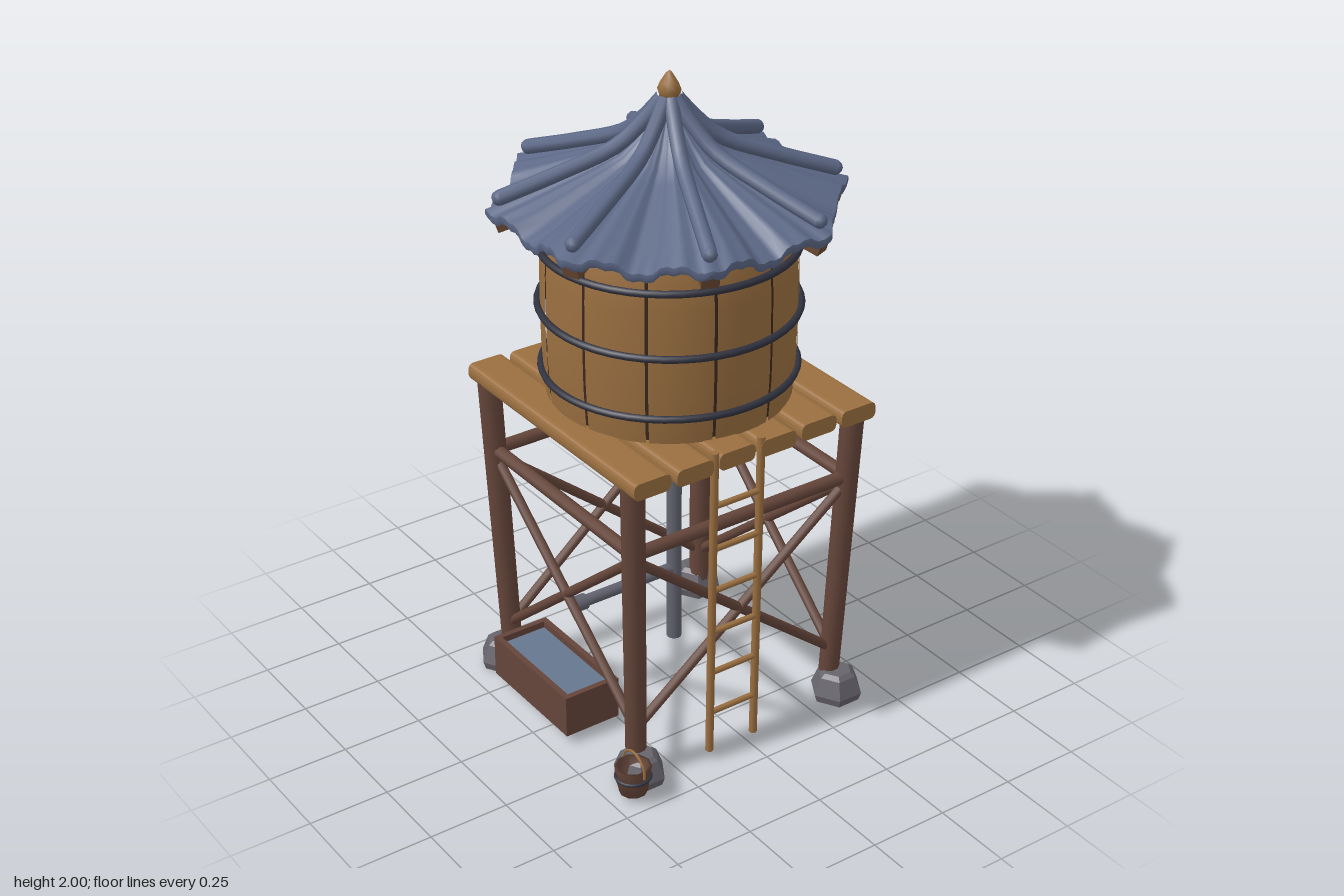
import * as THREE from 'three';

const mat = (name, color, side = THREE.FrontSide) => {
  const m = new THREE.MeshStandardMaterial({ color, side });
  m.name = name;
  return m;
};
const V = (x, y, z) => new THREE.Vector3(x, y, z);

export function createModel() {
  const root = new THREE.Group();
  root.name = 'waterTower';
  const tan = mat('tanWood', 0x9a6f40), brown = mat('darkWood', 0x64453a);
  const gap = mat('shadowWood', 0x3a271c), lining = mat('roofLining', 0x6b4a33, THREE.DoubleSide);
  const blue = mat('roofBlue', 0x5c6886), iron = mat('iron', 0x30323f);
  const stone = mat('stone', 0x67646c), pipe = mat('pipeMetal', 0x62636f);
  const water = mat('water', 0x66788f);

  const add = (name, geo, m, parent = root) => {
    const mesh = new THREE.Mesh(geo, m);
    mesh.name = name;
    parent.add(mesh);
    return mesh;
  };
  const group = (name) => {
    const g = new THREE.Group();
    g.name = name;
    root.add(g);
    return g;
  };
  // round bar between two points
  const bar = (name, a, b, r, m, parent = root, r2 = r, sides = 10) => {
    const d = b.clone().sub(a);
    const mesh = add(name, new THREE.CylinderGeometry(r2, r, d.length(), sides), m, parent);
    mesh.position.copy(a).add(b).multiplyScalar(0.5);
    mesh.quaternion.setFromUnitVectors(V(0, 1, 0), d.normalize());
    return mesh;
  };
  const box = (name, w, h, d, x, y, z, m, parent = root) => {
    const mesh = add(name, new THREE.BoxGeometry(w, h, d), m, parent);
    mesh.position.set(x, y, z);
    return mesh;
  };
  const lathe = (pts, seg) => new THREE.LatheGeometry(pts.map(p => new THREE.Vector2(...p)), seg);

  // legs, foot stones
  const frame = group('frame');
  const legAt = (sx, sz, y) => V(sx * (0.335 + 0.037 * y), y, sz * (0.355 + 0.03 * y));
  for (const sx of [-1, 1]) for (const sz of [-1, 1]) {
    bar('leg', legAt(sx, sz, 0.02), legAt(sx, sz, 1), 0.031, brown, frame, 0.035);
    const foot = lathe([[0, 0], [0.074, 0], [0.082, 0.025], [0.06, 0.08], [0.045, 0.092], [0, 0.092]], 6).toNonIndexed();
    foot.computeVertexNormals();
    add('footStone', foot, stone, frame).position.set(sx * 0.366, 0, sz * 0.366);
  }
  // cross beams and X braces on the four sides
  const corners = [[-1, 1], [1, 1], [1, -1], [-1, -1]];
  corners.forEach((c, i) => {
    const n = corners[(i + 1) % 4];
    bar('crossBeam', legAt(...c, 0.77), legAt(...n, 0.77), 0.02, brown, frame);
    bar('brace', legAt(...c, 0.16), legAt(...n, 0.75), 0.015, brown, frame);
    bar('brace', legAt(...c, 0.75), legAt(...n, 0.16), 0.015, brown, frame);
  });

  // deck planks with rounded long edges
  const deck = group('deck');
  const ps = new THREE.Shape();
  const w = 0.062, h = 0.026, q = 0.018;
  ps.moveTo(-w + q, -h).lineTo(w - q, -h).quadraticCurveTo(w, -h, w, 0).quadraticCurveTo(w, h, w - q, h)
    .lineTo(-w + q, h).quadraticCurveTo(-w, h, -w, 0).quadraticCurveTo(-w, -h, -w + q, -h);
  const plank = new THREE.ExtrudeGeometry(ps, { depth: 0.86, bevelEnabled: false, curveSegments: 4 });
  plank.translate(0, 0, -0.43).rotateY(Math.PI / 2);
  for (let i = 0; i < 6; i++) {
    const p = add('deckPlank', plank, tan, deck);
    p.position.set(0, 1.01 + (i % 2 ? -0.002 : 0.002), 0.358 - 0.1432 * i);
  }

  // tank: dark core, twelve curved staves, iron hoops
  const tank = group('tank');
  add('tankCore', new THREE.CylinderGeometry(0.355, 0.35, 0.52, 36), gap, tank).position.y = 1.3;
  const profile = [[0.35, 1.035], [0.358, 1.035], [0.367, 1.17], [0.369, 1.31], [0.367, 1.44], [0.36, 1.575], [0.335, 1.575]];
  for (let i = 0; i < 12; i++) {
    const a = (i - 0.5) * Math.PI / 6 + 0.012;
    const g = new THREE.LatheGeometry(
      profile.map(p => new THREE.Vector2(...p)), 5, a, Math.PI / 6 - 0.024);
    add('stave', g, tan, tank);
  }
  [[1.115, 0.37], [1.31, 0.376], [1.5, 0.372]].forEach(([y, r], i) => {
    const t = add('hoop', new THREE.TorusGeometry(r, 0.011, 8, 48), iron, tank);
    t.rotation.set(Math.PI / 2, [0.01, -0.008, 0.01][i], 0);
    t.position.y = y;
  });

  // roof: rings of a scalloped eight-sided sheet, steep at the top and flared below
  const roof = group('roof');
  const N = 160;
  const fall = (s) => s < 0.3
    ? 1.92 - 0.15 * (s / 0.3) + 0.012 * Math.sin(Math.PI * s / 0.3) * -1
    : 1.77 - 0.125 * Math.pow((s - 0.3) / 0.7, 0.95);
  const sheet = (a, s, drop) => {
    const f = Math.PI / 4, local = (((a + f / 2) % f) + f) % f - f / 2;
    const u = local / (f / 2), k = 1 - u * u;
    const r = s * (0.478 / Math.cos(local) - 0.015 * k);
    const y = fall(s) - s * (0.03 * k + 0.014 * Math.cos(2 * Math.PI * u) - 0.006 * Math.cos(6 * Math.PI * u));
    return [Math.sin(a) * r, y - drop, Math.cos(a) * r];
  };
  const rings = (list) => {
    const pos = [], idx = [];
    list.forEach(([s, drop], j) => {
      for (let i = 0; i < N; i++) {
        pos.push(...sheet(i / N * Math.PI * 2, s, drop));
        if (!j) continue;
        const a = (j - 1) * N + i, b = (j - 1) * N + (i + 1) % N;
        idx.push(a, a + N, b, b, a + N, b + N);
      }
    });
    const g = new THREE.BufferGeometry();
    g.setAttribute('position', new THREE.Float32BufferAttribute(pos, 3));
    g.setIndex(idx);
    g.computeVertexNormals();
    return g;
  };
  add('roofSheet', rings([0.03, 0.1, 0.2, 0.3, 0.4, 0.55, 0.7, 0.85, 1].map(s => [s, 0])), blue, roof);
  add('roofRim', rings([[1, 0], [1.003, 0.012], [0.99, 0.027]]), blue, roof);
  add('roofUnderside', rings([[0.99, 0.027], [0.8, 0.027], [0.5, 0.027], [0.3, 0.027], [0.05, 0.027]]), lining, roof);

  // ridge poles over the eight corners and rafters beneath them
  for (let i = 0; i < 8; i++) {
    const a = (i + 0.5) * Math.PI / 4;
    const at = (r, y) => V(Math.sin(a) * r, y, Math.cos(a) * r);
    const path = new THREE.CatmullRomCurve3([at(0.02, 1.92), at(0.08, 1.85), at(0.15, 1.79), at(0.31, 1.725), at(0.478, 1.667)]);
    add('ridgePole', new THREE.TubeGeometry(path, 14, 0.022, 8), blue, roof);
    const cap = add('ridgePoleEnd', new THREE.SphereGeometry(0.022, 8, 6), blue, roof);
    cap.position.copy(at(0.478, 1.667));
    const rafter = box('rafter', 0.05, 0.035, 0.17, 0, 0, 0, lining, roof);
    rafter.position.copy(at(0.41, 1.613));
    rafter.rotation.set(0.28, a, 0, 'YXZ');
  }
  add('finial', lathe([[0, 1.915], [0.026, 1.92], [0.034, 1.945], [0.026, 1.965], [0.01, 1.99], [0, 2]], 8), tan, roof);

  // ladder on the left side
  const ladder = group('ladder');
  for (const z of [0.142, -0.018]) bar('ladderRail', V(0.405, 0.03, z), V(0.418, 1.045, z), 0.012, tan, ladder);
  for (let i = 0; i < 6; i++) {
    const y = 0.165 + 0.141 * i, x = 0.405 + 0.0128 * y;
    bar('ladderRung', V(x, y, 0.15), V(x, y, -0.026), 0.009, tan, ladder);
  }

  // outlet pipe with spout
  const pipes = group('pipes');
  bar('downPipe', V(-0.085, 0.08, -0.078), V(-0.085, 1.04, -0.078), 0.023, pipe, pipes, 0.023, 12);
  bar('spout', V(-0.085, 0.33, -0.078), V(-0.085, 0.33, 0.26), 0.018, pipe, pipes, 0.018, 12);
  bar('spoutEnd', V(-0.085, 0.33, 0.25), V(-0.085, 0.33, 0.285), 0.025, pipe, pipes, 0.025, 12);

  // trough
  const trough = group('trough');
  const cx = -0.09, cz = 0.357;
  box('troughBottom', 0.4, 0.02, 0.185, cx, 0.04, cz, brown, trough);
  for (const s of [-1, 1]) {
    box('troughSide', 0.4, 0.125, 0.018, cx, 0.1025, cz + s * 0.084, brown, trough);
    box('troughEnd', 0.018, 0.125, 0.15, cx + s * 0.191, 0.1025, cz, brown, trough);
  }
  box('troughWater', 0.364, 0.008, 0.15, cx, 0.14, cz, water, trough);

  // bucket
  const bucket = group('bucket');
  bucket.position.set(0.426, 0, 0.428);
  add('bucketBody', lathe([[0, 0.022], [0.042, 0.022], [0.054, 0.11], [0.045, 0.11], [0.037, 0.04], [0, 0.04]], 10), brown, bucket);
  const band = add('bucketHoop', new THREE.TorusGeometry(0.051, 0.005, 6, 20), iron, bucket);
  band.rotation.x = Math.PI / 2;
  band.position.y = 0.075;
  const handle = add('bucketHandle', new THREE.TorusGeometry(0.053, 0.004, 6, 16, Math.PI), tan, bucket);
  handle.position.set(0.005, 0.105, 0);
  handle.rotation.z = -0.2;

  return root;
}
